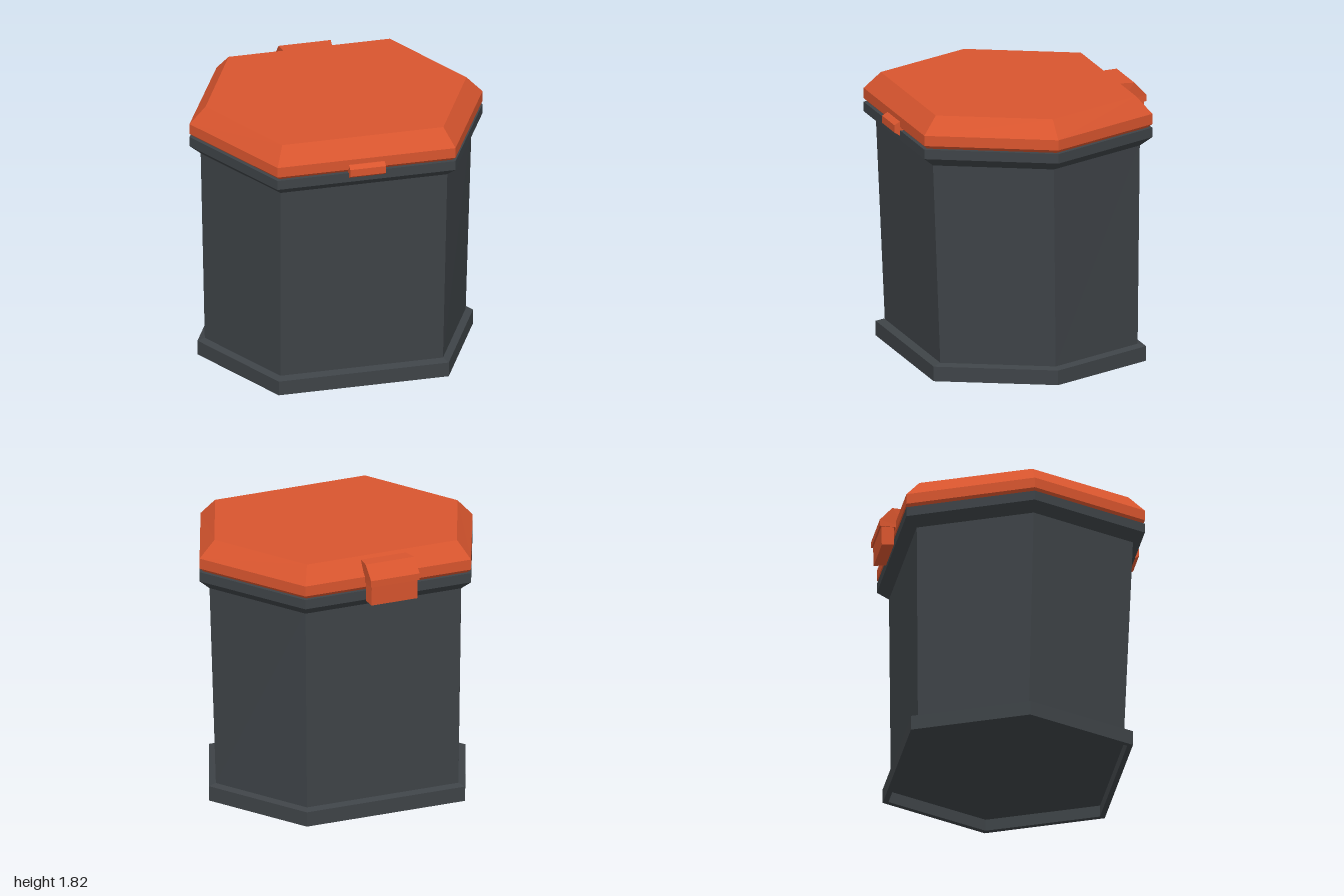
import * as THREE from 'three';

// Each ring is [y, halfWidth, halfFlat, zFront, zBack, zMiddle]
function ringPoints([y, w, m, zf, zb, zm]) {
  return [[w, zm], [m, zb], [-m, zb], [-w, zm], [-m, zf], [m, zf]]
    .map(([x, z]) => new THREE.Vector3(x, y, z));
}

// Capped hexagonal loft through a list of rings
function hexLoft(rings) {
  const loops = rings.map(ringPoints);
  const pts = [];
  for (let k = 0; k < loops.length - 1; k++) {
    const a = loops[k], b = loops[k + 1];
    for (let i = 0; i < 6; i++) {
      const j = (i + 1) % 6;
      pts.push(a[i], a[j], b[j], a[i], b[j], b[i]);
    }
  }
  const first = loops[0], last = loops[loops.length - 1];
  for (let i = 1; i < 5; i++) {
    pts.push(first[0], first[i + 1], first[i]);
    pts.push(last[0], last[i], last[i + 1]);
  }
  const geo = new THREE.BufferGeometry().setFromPoints(pts);
  geo.computeVertexNormals();
  return geo;
}

// Side profile of [z, y] points extruded across x
function sideExtrude(profile, width) {
  const shape = new THREE.Shape(profile.map(([z, y]) => new THREE.Vector2(z, y)));
  const geo = new THREE.ExtrudeGeometry(shape, { depth: width, bevelEnabled: false });
  return geo.rotateY(-Math.PI / 2).translate(width / 2, 0, 0);
}

export function createModel() {
  const charcoal = new THREE.MeshStandardMaterial({ color: 0x3e4347, flatShading: true });
  charcoal.name = 'charcoal';
  const orange = new THREE.MeshStandardMaterial({ color: 0xd8552e, flatShading: true });
  orange.name = 'orange';

  const group = new THREE.Group();
  group.name = 'hexagonalBin';
  const add = (name, geo, mat) => {
    const mesh = new THREE.Mesh(geo, mat);
    mesh.name = name;
    group.add(mesh);
  };

  // Base skirt with a recessed underside
  add('baseSkirt', hexLoft([
    [0.08, 0.90, 0.56, 0.72, -0.695, 0.01],
    [0, 0.90, 0.56, 0.72, -0.695, 0.01],
    [0, 0.94, 0.58, 0.755, -0.73, 0.01],
    [0.10, 0.94, 0.58, 0.755, -0.73, 0.01],
    [0.115, 0.89, 0.555, 0.70, -0.68, 0.01],
  ]), charcoal);

  // Body widening towards the top
  add('body', hexLoft([
    [0.11, 0.89, 0.555, 0.70, -0.68, 0.01],
    [1.49, 0.925, 0.57, 0.757, -0.69, 0.035],
  ]), charcoal);

  // Flared rim
  add('rim', hexLoft([
    [1.48, 0.925, 0.57, 0.757, -0.69, 0.035],
    [1.54, 1, 0.607, 0.83, -0.765, 0.03],
    [1.605, 1, 0.607, 0.83, -0.765, 0.03],
  ]), charcoal);

  // Lid with chamfered lower edge and broad top bevel
  add('lid', hexLoft([
    [1.606, 0.97, 0.59, 0.805, -0.74, 0.03],
    [1.63, 1, 0.607, 0.83, -0.765, 0.03],
    [1.70, 1, 0.607, 0.83, -0.765, 0.03],
    [1.815, 0.89, 0.55, 0.73, -0.67, 0.03],
  ]), orange);

  // Front latch tab
  add('frontLatch', sideExtrude([
    [0.80, 1.572], [0.835, 1.572], [0.87, 1.595], [0.87, 1.645], [0.835, 1.665], [0.80, 1.665],
  ], 0.244), orange);

  // Rear hinge cover, narrowing towards the lid
  const cover = sideExtrude([
    [-0.69, 1.66], [-0.69, 1.795], [-0.79, 1.795], [-0.873, 1.705], [-0.873, 1.66],
  ], 0.356);
  const p = cover.attributes.position;
  for (let i = 0; i < p.count; i++) {
    if (p.getZ(i) > -0.7) p.setX(i, p.getX(i) * 0.92);
  }
  cover.computeVertexNormals();
  add('hingeCover', cover, orange);

  // Hanging hinge block
  add('hingeBlock', sideExtrude([
    [-0.776, 1.535], [-0.776, 1.67], [-0.862, 1.67], [-0.858, 1.528],
  ], 0.335), orange);

  return group;
}
